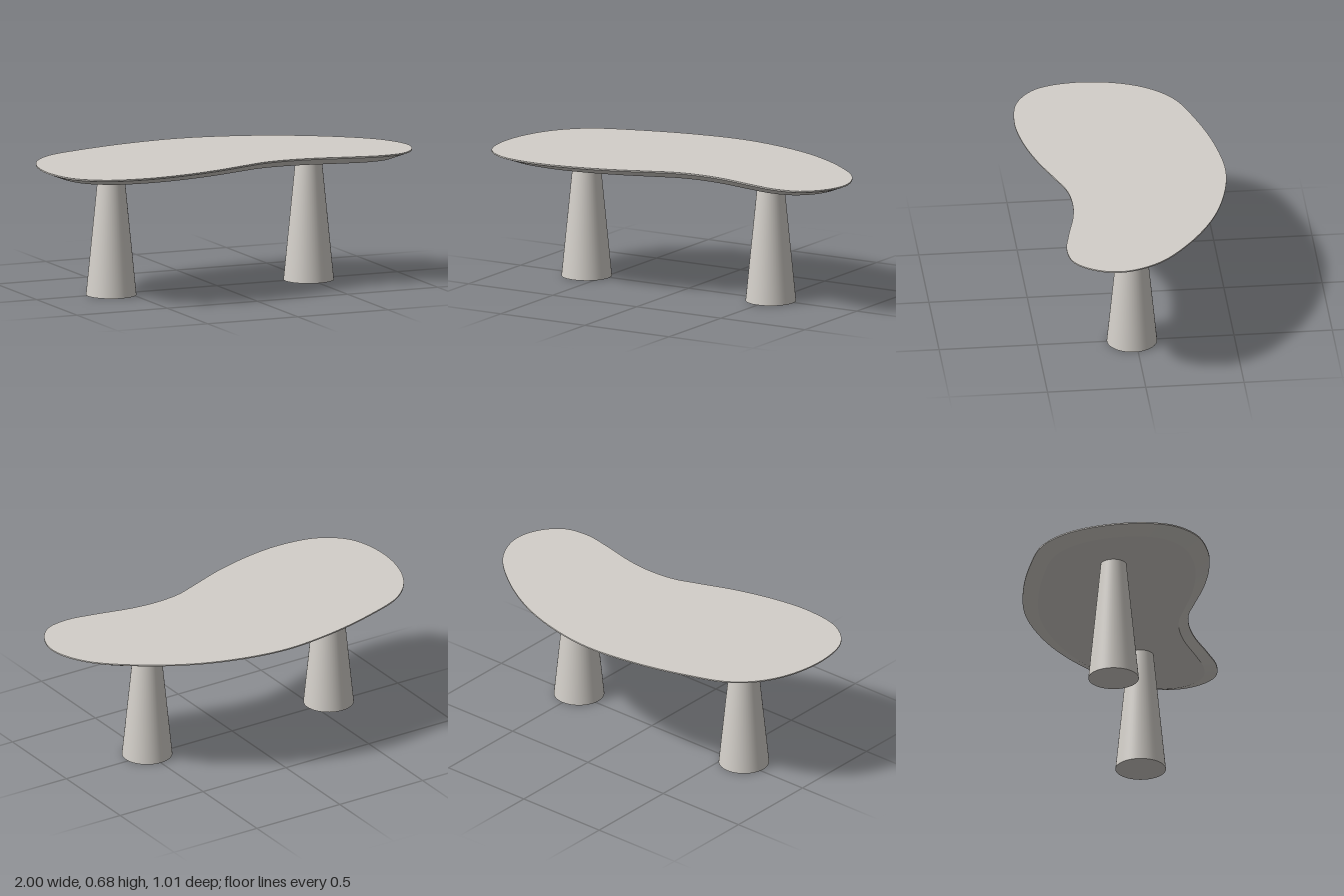
import * as THREE from 'three';

// Tabletop outline, [x, z] points running back -> left -> front -> right
const OUTLINE = [
  [0, -0.51], [0.25, -0.475], [0.5, -0.39], [0.75, -0.24], [0.93, -0.07],
  [1, 0.11], [0.97, 0.25], [0.88, 0.35], [0.75, 0.376], [0.6, 0.352],
  [0.4, 0.308], [0.26, 0.297], [0.12, 0.312], [0, 0.355], [-0.2, 0.43],
  [-0.42, 0.485], [-0.62, 0.503], [-0.82, 0.468], [-0.95, 0.36], [-1, 0.17],
  [-0.975, -0.05], [-0.9, -0.21], [-0.78, -0.325], [-0.55, -0.415], [-0.28, -0.482],
];
const TOP = 0.675, RIM = 0.668, UNDER = 0.635;

// Smooth wall between two outlines at different heights
function wall(lower, yLower, upper, yUpper) {
  const positions = [], index = [], n = lower.length;
  for (let i = 0; i < n; i++) {
    positions.push(lower[i].x, yLower, lower[i].y, upper[i].x, yUpper, upper[i].y);
    const a = 2 * i, b = 2 * ((i + 1) % n);
    index.push(a, a + 1, b, a + 1, b + 1, b);
  }
  const geometry = new THREE.BufferGeometry();
  geometry.setAttribute('position', new THREE.Float32BufferAttribute(positions, 3));
  geometry.setIndex(index);
  geometry.computeVertexNormals();
  return geometry;
}

// Flat face filling an outline, facing up (1) or down (-1)
function face(points, y, facing) {
  const shape = new THREE.Shape(points.map((p) => new THREE.Vector2(p.x, -facing * p.y)));
  return new THREE.ShapeGeometry(shape).rotateX(-facing * Math.PI / 2).translate(0, y, 0);
}

export function createModel() {
  const model = new THREE.Group();
  model.name = 'table';
  const stone = new THREE.MeshStandardMaterial({ color: 0xd3cfc9 });
  stone.name = 'warm grey';

  const add = (parent, name, geometry) => {
    const mesh = new THREE.Mesh(geometry, stone);
    mesh.name = name;
    parent.add(mesh);
    return mesh;
  };

  // Kidney-shaped top with a thin rim and an undercut bevel
  const curve = new THREE.CatmullRomCurve3(
    OUTLINE.map(([x, z]) => new THREE.Vector3(x, 0, z)), true, 'centripetal');
  const outer = curve.getSpacedPoints(160).slice(0, -1).map((p) => new THREE.Vector2(p.x, p.z));
  const inner = outer.map((p) => new THREE.Vector2(p.x * 0.918, p.y * 0.845));

  const tabletop = new THREE.Group();
  tabletop.name = 'tabletop';
  add(tabletop, 'topSurface', face(outer, TOP, 1));
  add(tabletop, 'rim', wall(outer, RIM, outer, TOP));
  add(tabletop, 'bevel', wall(inner, UNDER, outer, RIM));
  add(tabletop, 'underside', face(inner, UNDER, -1));
  model.add(tabletop);

  // Two tapered round legs
  for (const [name, x] of [['rightLeg', -0.595], ['leftLeg', 0.5]]) {
    add(model, name, new THREE.CylinderGeometry(0.065, 0.128, UNDER, 48))
      .position.set(x, UNDER / 2, 0.019);
  }
  return model;
}
